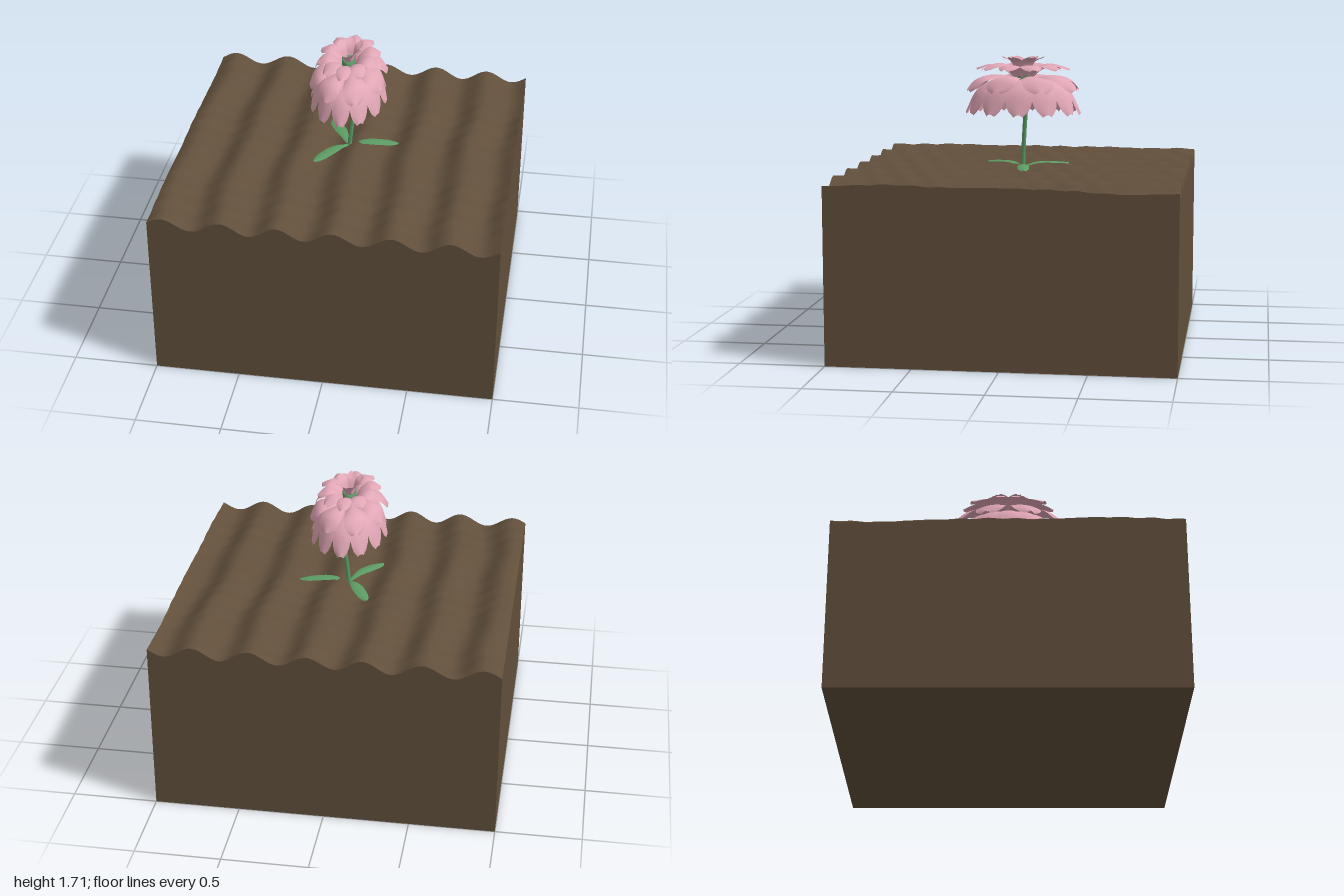
import * as THREE from 'three';

const mat = (name, color, side = THREE.FrontSide) => {
  const m = new THREE.MeshStandardMaterial({ color, side });
  m.name = name;
  return m;
};

// Height of the ploughed soil: six wavering furrows with small lumps
function soilHeight(x, z) {
  const wobble = 0.018 * Math.sin(2.3 * z + 0.6) + 0.008 * Math.sin(7 * z + 3 * x);
  const ridge = Math.cos((2 * Math.PI * (x - 0.075 + wobble)) / 0.33);
  const lumps = 0.003 * Math.sin(19 * x + 11 * z) * Math.sin(23 * z - 7 * x)
    + 0.002 * Math.sin(41 * z + 13 * x);
  return 1.024 + 0.033 * ridge + lumps;
}

// Curved blade: spine holds [distance outward, height], widths gives [position, half width]
function blade(spine, widths, cup, rows = 14, cols = 8) {
  const curve = new THREE.CatmullRomCurve3(spine.map(([r, y]) => new THREE.Vector3(0, y, r)));
  const widthAt = (t) => {
    let i = 1;
    while (i < widths.length - 1 && widths[i][0] < t) i++;
    const [a, wa] = widths[i - 1], [b, wb] = widths[i];
    return THREE.MathUtils.lerp(wa, wb, (t - a) / (b - a));
  };
  const geo = new THREE.PlaneGeometry(1, 1, cols, rows);
  const pos = geo.attributes.position;
  for (let i = 0; i < pos.count; i++) {
    const s = pos.getX(i) * 2, t = 0.5 - pos.getY(i);
    const p = curve.getPoint(t);
    pos.setXYZ(i, s * widthAt(t), p.y - cup * s * s, p.z - cup * 0.6 * s * s * t);
  }
  geo.computeVertexNormals();
  return geo;
}

export function createModel() {
  const soilMat = mat('soil brown', 0x614f3b);
  const greenMat = mat('leaf green', 0x5c9c64, THREE.DoubleSide);
  const pinkMat = mat('petal pink', 0xe0a6b5, THREE.DoubleSide);

  const model = new THREE.Group();
  const add = (parent, name, geo, material) => {
    const m = new THREE.Mesh(geo, material);
    m.name = name;
    parent.add(m);
    return m;
  };

  // Soil block with a furrowed top
  const soil = new THREE.BoxGeometry(2, 1, 2, 150, 1, 70);
  const sp = soil.attributes.position;
  for (let i = 0; i < sp.count; i++) {
    sp.setY(i, sp.getY(i) > 0 ? soilHeight(sp.getX(i), sp.getZ(i)) : 0);
  }
  soil.computeVertexNormals();
  add(model, 'soilBlock', soil, soilMat);

  // Leaning stem
  const stemPath = new THREE.CatmullRomCurve3([
    [0, 0.98, 0], [0.012, 1.12, -0.003], [0.035, 1.3, -0.015], [0.053, 1.44, -0.025], [0.03, 1.57, -0.01],
  ].map((p) => new THREE.Vector3(...p)));
  add(model, 'stem', new THREE.TubeGeometry(stemPath, 20, 0.013, 8), greenMat);

  // Three leaves spreading over the ground
  const leafGeo = blade(
    [[0, 1.04], [0.09, 1.062], [0.2, 1.06], [0.3, 1.05]],
    [[0, 0.008], [0.2, 0.02], [0.5, 0.036], [0.8, 0.034], [0.93, 0.022], [1, 0.008]], 0.006);
  [[0.28, -0.04], [-0.18, 0.25], [-0.15, -0.28]].forEach(([x, z]) => {
    add(model, 'leaf', leafGeo, greenMat).rotation.y = Math.atan2(x, z);
  });

  // Flower head, narrower from side to side than front to back
  const flower = new THREE.Group();
  flower.name = 'flowerHead';
  flower.scale.x = 0.65;
  model.add(flower);

  // Green cup at the heart of the flower
  const cup = [[0.012, 1.52], [0.045, 1.535], [0.062, 1.56], [0.06, 1.6], [0.064, 1.63], [0.045, 1.625], [0, 1.6]];
  add(flower, 'calyx', new THREE.LatheGeometry(cup.map((p) => new THREE.Vector2(...p)), 20), greenMat);

  // Petal rings from the drooping outer ring to the upright inner one
  const rings = [
    { name: 'outerPetal', count: 12, turn: 0, half: 0.084, cup: 0.014,
      spine: [[0.04, 1.56], [0.17, 1.568], [0.28, 1.505], [0.352, 1.37]] },
    { name: 'middlePetal', count: 8, turn: 0.5, half: 0.098, cup: 0.016,
      spine: [[0.04, 1.575], [0.17, 1.592], [0.28, 1.575], [0.355, 1.51]] },
    { name: 'upperPetal', count: 10, turn: 0, half: 0.066, cup: 0.01,
      spine: [[0.05, 1.58], [0.1, 1.63], [0.19, 1.66], [0.285, 1.635]] },
    { name: 'innerPetal', count: 6, turn: 0, half: 0.045, cup: -0.006,
      spine: [[0.035, 1.59], [0.045, 1.63], [0.07, 1.675], [0.125, 1.7]] },
  ];
  rings.forEach(({ name, count, turn, half, cup: c, spine }) => {
    const shape = [[0, 0.3], [0.3, 0.6], [0.6, 0.98], [0.75, 1], [0.88, 0.85], [0.96, 0.58], [1, 0.32]];
    const geo = blade(spine, shape.map(([t, w]) => [t, w * half]), c);
    for (let i = 0; i < count; i++) {
      add(flower, name, geo, pinkMat).rotation.y = ((i + turn) / count) * Math.PI * 2;
    }
  });

  return model;
}
